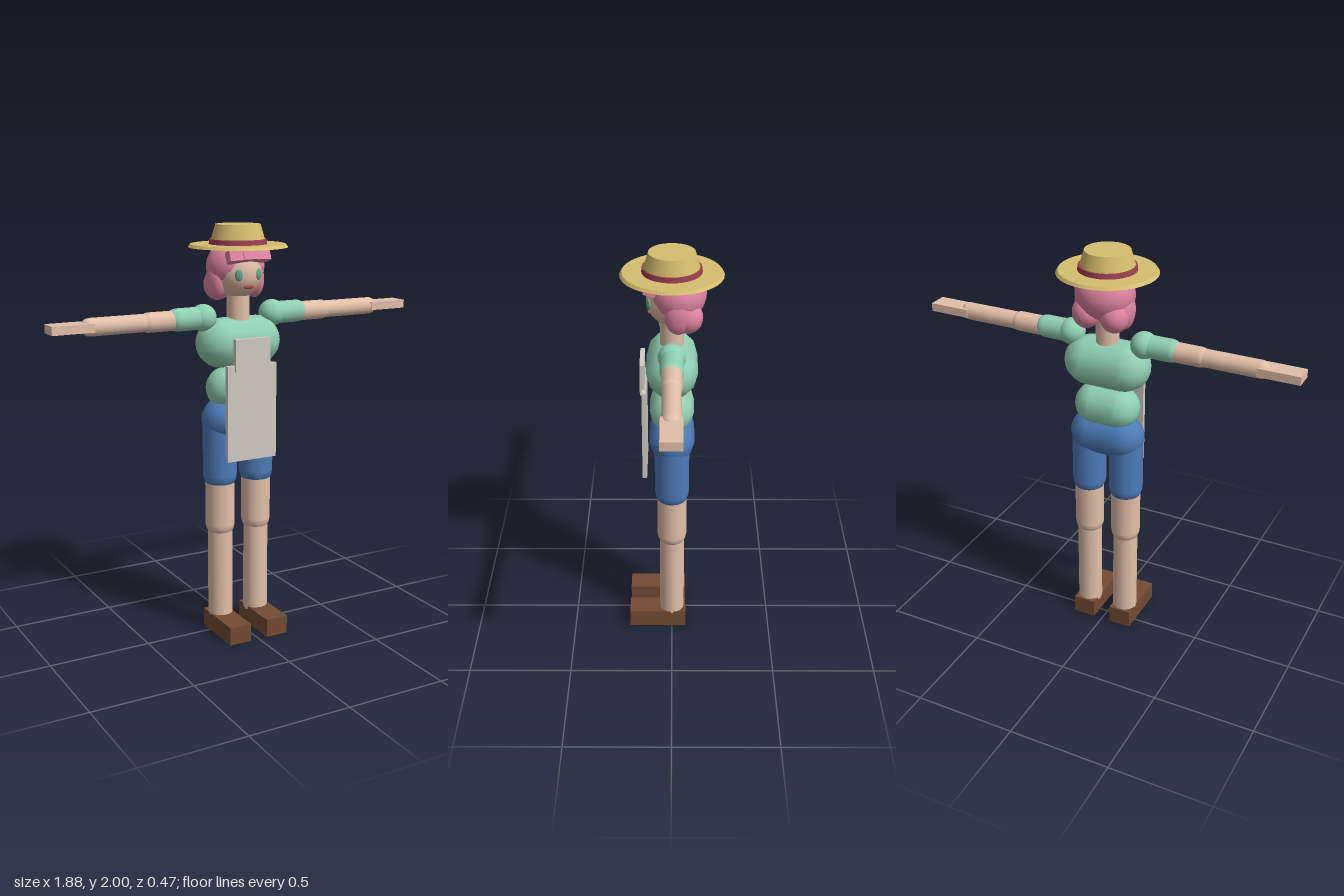
import * as THREE from 'three';

export function createModel() {
  const model = new THREE.Group();
  model.name = 'strawHatGardener';
  const mat = (name, color) => {
    const m = new THREE.MeshStandardMaterial({ color });
    m.name = name;
    return m;
  };
  const skin = mat('skin', 0xe2bfa8);
  const green = mat('shirtGreen', 0x90d0b4);
  const blue = mat('shortsBlue', 0x4d7cb8);
  const pink = mat('hairPink', 0xdf84a2);
  const straw = mat('straw', 0xd6bd6e);
  const red = mat('bandRed', 0x9c4050);
  const brown = mat('shoeBrown', 0x744a32);
  const cream = mat('apronCream', 0xd0ccc2);
  const eyeGreen = mat('eyeGreen', 0x62a58c);
  const lipRed = mat('lipRed', 0xb04a48);

  const add = (name, geo, material, x = 0, y = 0, z = 0) => {
    const m = new THREE.Mesh(geo, material);
    m.name = name;
    m.position.set(x, y, z);
    model.add(m);
    return m;
  };
  const box = (name, w, h, d, material, x, y, z) =>
    add(name, new THREE.BoxGeometry(w, h, d), material, x, y, z);
  const ball = (name, rx, ry, rz, material, x, y, z) => {
    const m = add(name, new THREE.SphereGeometry(1, 20, 14), material, x, y, z);
    m.scale.set(rx, ry, rz);
    return m;
  };
  // capsules measured tip to tip
  const capX = (name, r, x0, x1, y, material, sides = 16) => {
    const g = new THREE.CapsuleGeometry(r, Math.abs(x1 - x0) - 2 * r, 6, sides);
    return add(name, g.rotateZ(Math.PI / 2), material, (x0 + x1) / 2, y, 0);
  };
  const capY = (name, r, y0, y1, x, material) =>
    add(name, new THREE.CapsuleGeometry(r, y1 - y0 - 2 * r, 6, 16), material, x, (y0 + y1) / 2, 0);

  // torso
  capX('chest', 0.12, -0.213, 0.213, 1.45, green, 12);
  capX('waist', 0.105, -0.162, 0.162, 1.23, green, 12);
  capX('hips', 0.108, -0.186, 0.186, 1.08, blue, 12);
  add('neck', new THREE.CylinderGeometry(0.055, 0.055, 0.16, 16), skin, 0, 1.62, 0);

  // apron
  box('apronSkirt', 0.262, 0.46, 0.022, cream, 0, 1.13, 0.13);
  box('apronBib', 0.185, 0.152, 0.022, cream, 0, 1.408, 0.138);

  // limbs, mirrored
  for (const s of [1, -1]) {
    const side = s > 0 ? 'left' : 'right';
    ball(side + 'Shoulder', 0.064, 0.064, 0.064, green, s * 0.185, 1.575, 0);
    capX(side + 'Sleeve', 0.054, s * 0.13, s * 0.375, 1.574, green);
    capX(side + 'UpperArm', 0.047, s * 0.2, s * 0.51, 1.572, skin);
    capX(side + 'Forearm', 0.042, s * 0.42, s * 0.79, 1.572, skin);
    box(side + 'Hand', 0.2, 0.04, 0.094, skin, s * 0.84, 1.574, 0);
    capY(side + 'ShortsLeg', 0.083, 0.725, 1.16, s * 0.1, blue);
    capY(side + 'Thigh', 0.072, 0.486, 1.0, s * 0.1, skin);
    capY(side + 'Shin', 0.061, 0.03, 0.62, s * 0.1, skin);
    box(side + 'Shoe', 0.114, 0.09, 0.285, brown, s * 0.102, 0.045, 0.073);
  }

  // head and face
  ball('head', 0.115, 0.122, 0.118, skin, 0, 1.778, 0);
  for (const s of [1, -1]) {
    const eye = ball('eye', 0.018, 0.027, 0.008, eyeGreen, s * 0.053, 1.774, 0.105);
    eye.rotation.y = s * 0.45;
  }
  ball('mouth', 0.027, 0.01, 0.008, lipRed, 0, 1.718, 0.104);

  // hair: cap, lobes and fringe
  ball('hairCap', 0.142, 0.125, 0.131, pink, 0, 1.805, -0.026);
  for (const s of [1, -1]) {
    ball('hairSideLock', 0.042, 0.088, 0.062, pink, s * 0.104, 1.738, -0.028);
    ball('hairBackLobe', 0.068, 0.075, 0.068, pink, s * 0.07, 1.718, -0.072);
    const f = box('fringeSide', 0.075, 0.055, 0.055, pink, s * 0.066, 1.86, 0.097);
    f.rotation.set(-0.38, s * 0.12, 0);
  }
  const fringe = box('fringeMiddle', 0.08, 0.052, 0.055, pink, 0, 1.862, 0.104);
  fringe.rotation.x = -0.38;

  // straw hat
  add('hatBrim', new THREE.CylinderGeometry(0.225, 0.235, 0.014, 32), straw, 0, 1.902, 0);
  add('hatCrown', new THREE.CylinderGeometry(0.106, 0.133, 0.092, 32), straw, 0, 1.954, 0);
  add('hatBand', new THREE.CylinderGeometry(0.134, 0.137, 0.024, 32), red, 0, 1.92, 0);

  return model;
}
